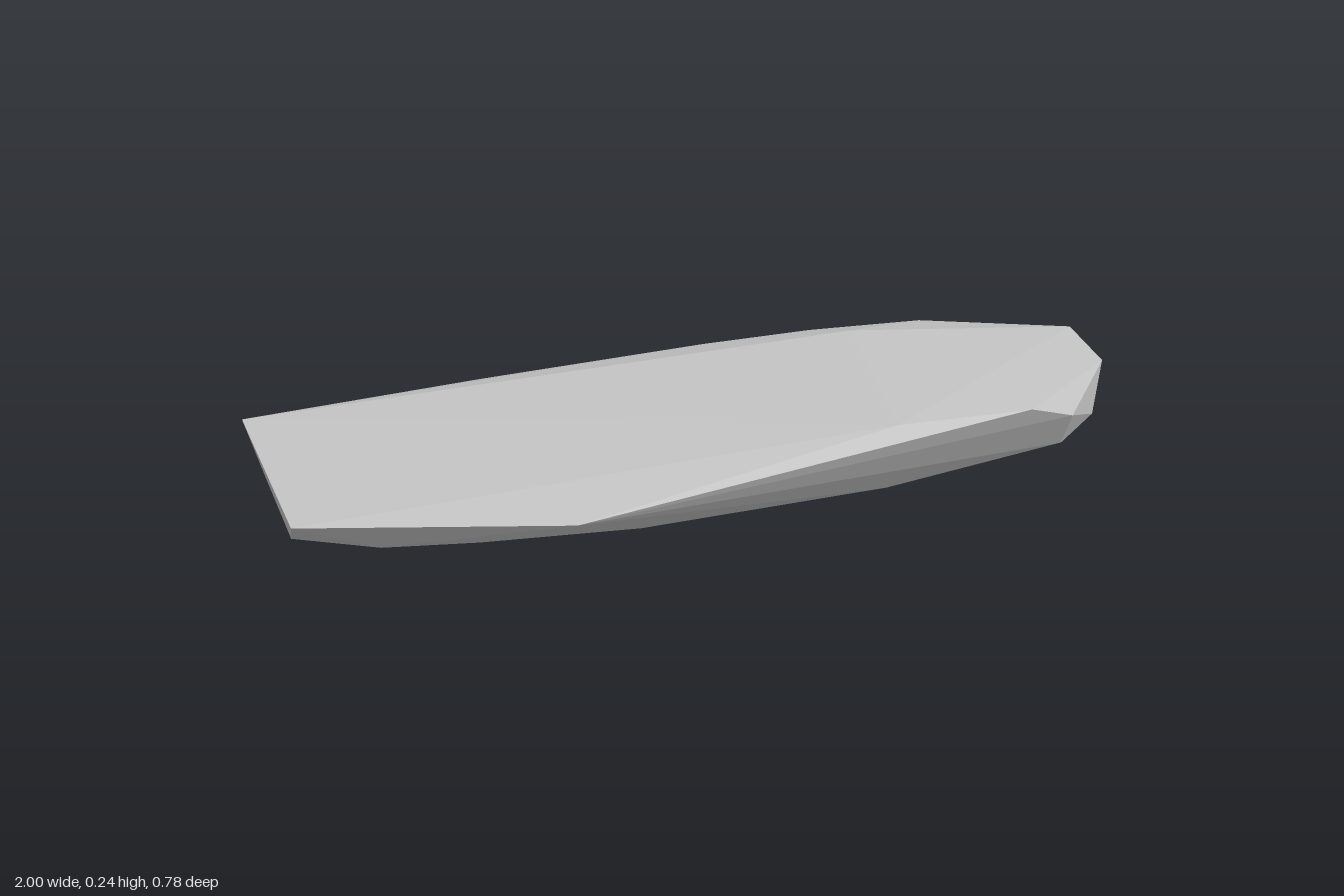
import * as THREE from 'three';
import { ConvexGeometry } from 'three/addons/geometries/ConvexGeometry.js';

export function createModel() {
  const model = new THREE.Group();
  const stone = new THREE.MeshStandardMaterial({ color: 0xc4c4c4 });
  stone.name = 'light grey stone';

  // Nearly flat upper face: its rim and two slight crowns
  const topRim = [
    [-1, 0.2, -0.33], [-0.99, 0.19, 0.21], [-0.41, 0.19, 0.39],
    [0.38, 0.24, 0.25], [0.72, 0.218, 0.23], [1, 0.21, 0.02],
    [1, 0.222, -0.16], [0.47, 0.24, -0.27], [0.68, 0.205, -0.347],
    [0.4, 0.21, -0.367], [0.13, 0.205, -0.381], [-0.42, 0.19, -0.39],
    [-0.72, 0.175, -0.365],
  ];

  // Chipped facets around the sides
  const sides = [
    [0.85, 0.16, 0.18], [0.96, 0.095, 0.065], [0.99, 0.102, -0.08],
    [0.92, 0.135, -0.245], [0.79, 0.163, -0.32], [0.78, 0.075, -0.29],
    [0.7, 0.055, -0.31], [0.86, 0.055, 0.11], [-0.97, 0.09, 0.07],
    [-0.97, 0.09, -0.23], [-0.79, 0.083, 0.16], [-0.57, 0.058, 0.16],
  ];

  // Shallow rounded underside
  const underside = [
    [0.83, 0.033, -0.1], [0.75, 0.038, -0.25], [0.4, 0.03, 0.15],
    [0.5, 0.012, 0.05], [0.5, 0.012, -0.15], [0.1, 0, -0.1],
    [0.1, 0.001, -0.01], [-0.2, 0.008, 0.07], [-0.2, 0.033, 0.165],
    [-0.2, 0.012, -0.19], [0.1, 0.03, -0.26], [-0.6, 0.03, -0.19],
    [-0.6, 0.03, 0.03], [-0.87, 0.055, -0.1], [-0.5, 0.05, -0.29],
  ];

  const corners = [...topRim, ...sides, ...underside].map((p) => new THREE.Vector3(...p));
  const slab = new THREE.Mesh(new ConvexGeometry(corners), stone);
  slab.name = 'stoneSlab';
  model.add(slab);
  return model;
}
